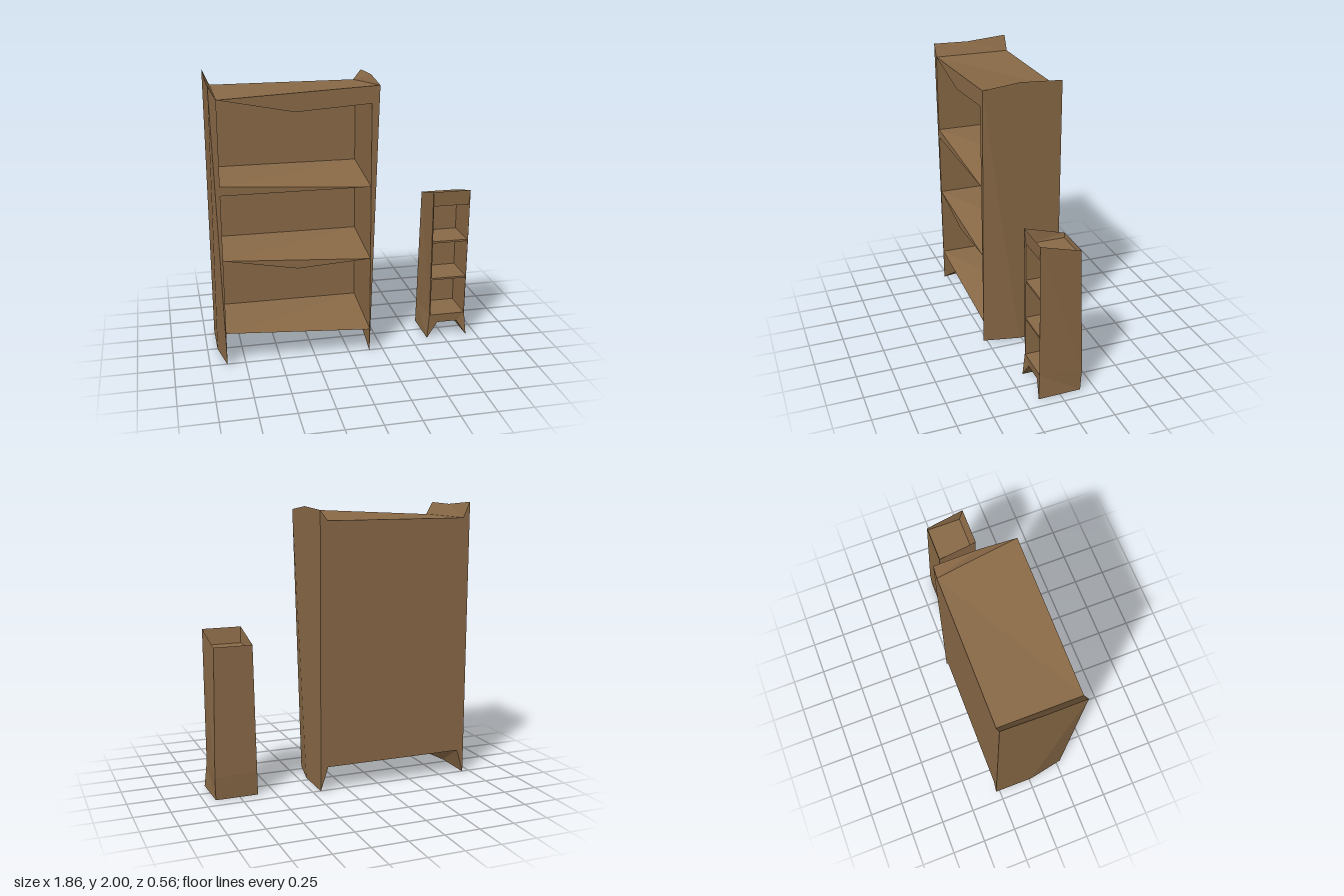
import * as THREE from 'three';

const wood = new THREE.MeshStandardMaterial({ color: 0x8a6a47 });
wood.side = THREE.DoubleSide; // thin, open boards
wood.flatShading = true;

// Builds one part from a few polygons, each fanned from its first corner
function part(group, name, ...polygons) {
  const verts = [];
  for (const p of polygons) {
    for (let i = 1; i < p.length - 1; i++) verts.push(...p[0], ...p[i], ...p[i + 1]);
  }
  const geo = new THREE.BufferGeometry();
  geo.setAttribute('position', new THREE.Float32BufferAttribute(verts, 3));
  geo.computeVertexNormals();
  const mesh = new THREE.Mesh(geo, wood);
  mesh.name = name;
  group.add(mesh);
}

function largeBookcase() {
  const g = new THREE.Group();
  g.name = 'largeBookcase';
  const L = -0.88, R = 0.145, M = -0.37, F = 0.28, B = -0.28, inner = -0.22, mid = 0.02;

  // Warped side boards, pinched at the front foot and flared at top and bottom
  const sides = [
    { name: 'rightSide', xi: L, xo: -0.93, top: [1.98, 1.975, 2.0], lip: [L, 1.89, F], floor: 0.25 },
    { name: 'leftSide', xi: R, xo: 0.2, top: [1.945, 1.975, 1.96], lip: [0.2, 1.945, F], floor: 0.18 },
  ];
  for (const { name, xi, xo, top, lip, floor } of sides) {
    const t = [[xo, top[0], F], [xo, top[1], mid], [xo, top[2], B]];
    const f = [[xi, 0.01, F], [xo, 0.01, mid], [xo, 0.01, B]];
    const backTop = [xi, 1.89, B], backLow = [xi, 0.18, B], frontLow = [xi, floor, F];
    part(g, name,
      [t[0], t[1], f[1], f[0]], [t[1], t[2], f[2], f[1]],       // outside
      [backTop, lip, t[0], t[1], t[2]],                         // top flare
      [backTop, t[2], f[2], backLow],                           // rear edge
      [t[0], [xi, xi < 0 ? 1.89 : 1.825, F], frontLow, f[0]],   // front edge
      [backLow, frontLow, f[0], f[1], f[2]],                    // foot
      [[xi, 1.89, F], [xi, 1.82, inner], [xi, 0.18, inner], frontLow]); // inside
  }

  part(g, 'backPanel',
    [[L, 1.89, B], [R, 1.89, B], [R, 0.18, B], [L, 0.18, B]],
    [[L, 1.82, inner], [R, 1.82, inner], [R, 0.25, inner], [L, 0.25, inner]]);

  // Top board with sagging front rail
  part(g, 'topBoard',
    [[L, 1.89, F], [0.2, 1.945, F], [R, 1.89, B], [L, 1.89, B]],
    [[M, 1.79, F], [R, 1.825, F], [0.2, 1.945, F], [L, 1.89, F]],
    [[M, 1.79, F], [R, 1.825, F], [R, 1.82, inner], [L, 1.82, inner], [L, 1.89, F]]);

  // Shelves: flat at the back, tapering to the left end at the front
  const shelfTop = (y) => [[L, y, F], [R, y - 0.065, F], [R, y, inner], [L, y, inner]];
  part(g, 'upperShelf', shelfTop(1.315),
    [[L, 1.315, F], [L, 1.25, F], [R, 1.25, F]],
    [[L, 1.25, F], [R, 1.25, F], [R, 1.25, inner], [L, 1.25, inner]]);
  part(g, 'middleShelf', shelfTop(0.79),
    [[L, 0.79, F], [M, 0.695, F], [R, 0.725, F]],
    [[M, 0.695, F], [R, 0.725, F], [R, 0.73, inner], [L, 0.73, inner], [L, 0.79, F]]);
  part(g, 'bottomShelf', shelfTop(0.25),
    [[L, 0.25, F], [R, 0.18, F], [R, 0.18, B], [L, 0.18, B]]);
  return g;
}

function smallBookcase() {
  const g = new THREE.Group();
  g.name = 'smallBookcase';
  const l = 0.645, r = 0.905, F = 0.145, inner = -0.11;

  // Corner rings in the order front left, front right, back right, back left of the page
  const foot = [[0.62, 0, 0.155], [0.925, 0, 0.155], [0.92, 0, -0.15], [0.62, 0, -0.15]];
  const low = [[0.637, 0.18, F], [0.908, 0.18, F], [0.925, 0.16, -0.155], [0.625, 0.17, -0.155]];
  const rim = [[0.635, 1.14, 0.155], [0.912, 1.14, 0.155], [0.905, 1.06, -0.13], [0.635, 1.06, -0.13]];
  const plate = [[l, 1.03, 0.125], [r, 1.03, 0.125], [r, 1.03, -0.125], [l, 1.03, -0.125]];
  const under = [[0.7, 0.115, 0.14], [0.85, 0.115, 0.14], [0.85, 0.115, -0.07], [0.7, 0.115, -0.07]];

  const names = ['front', 'leftSide', 'back', 'rightSide'];
  names.forEach((name, i) => {
    const j = (i + 1) % 4;
    const faces = [[rim[i], rim[j], plate[j], plate[i]]]; // inside of the raised rim
    if (i > 0) {
      faces.push([rim[i], rim[j], low[j], low[i]], [low[i], low[j], foot[j], foot[i]],
        [foot[i], foot[j], under[j], under[i]]);
    }
    part(g, name, ...faces);
  });

  // Front rail, posts and arched base
  const tl = [l, 1.03, F], tr = [r, 1.03, F], bl = [l, 0.18, F], br = [r, 0.18, F];
  part(g, 'frontRail', [rim[0], rim[1], tr, tl]);
  part(g, 'frontPosts', [rim[0], tl, bl, low[0]], [rim[1], low[1], br, tr]);
  part(g, 'frontBase', [under[0], under[1], low[1], low[0]],
    [foot[0], under[0], low[0]], [foot[1], low[1], under[1]]);
  part(g, 'topBoard', plate, [tl, tr, [r, 1.03, inner], [l, 1.03, inner]]);
  part(g, 'underside', under);

  // Interior walls
  const itl = [l, 1.03, inner], itr = [r, 1.03, inner], ibl = [l, 0.18, inner], ibr = [r, 0.18, inner];
  part(g, 'interior', [tl, itl, ibl, bl], [tr, br, ibr, itr], [itl, itr, ibr, ibl], [bl, br, ibr, ibl]);

  // Thin shelves
  for (const y of [0.467, 0.755]) {
    const shelf = new THREE.Mesh(new THREE.BoxGeometry(r - l, 0.014, F - inner), wood);
    shelf.name = 'shelf';
    shelf.position.set((l + r) / 2, y, (F + inner) / 2);
    g.add(shelf);
  }
  return g;
}

export function createModel() {
  const model = new THREE.Group();
  model.name = 'bookcases';
  wood.name = 'brownWood';
  model.add(largeBookcase(), smallBookcase());
  return model;
}
